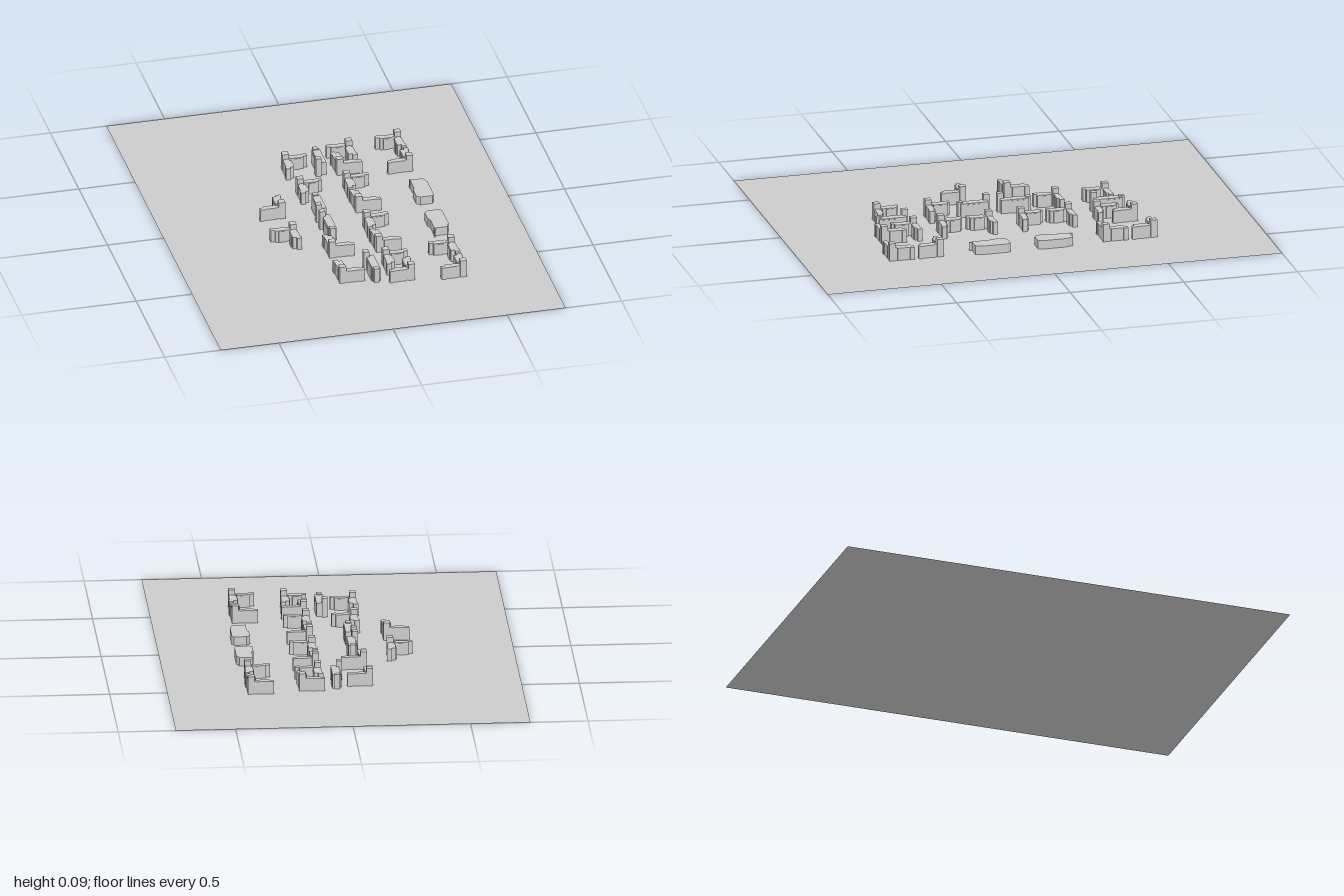
import * as THREE from 'three';

const material = new THREE.MeshStandardMaterial({ color: 0xcccccc, flatShading: true });
const groundMaterial = new THREE.MeshStandardMaterial({ color: 0xcccccc, side: THREE.DoubleSide });

// Box standing on the ground, given by its plan limits; sx and sz mirror the plan
function block(parent, name, [x0, x1, z0, z1, h], sx = 1, sz = 1) {
  const mesh = new THREE.Mesh(new THREE.BoxGeometry(x1 - x0, h, z1 - z0), material);
  mesh.position.set(sx * (x0 + x1) / 2, h / 2, sz * (z0 + z1) / 2);
  mesh.name = name;
  parent.add(mesh);
}

// L-shaped house: stair tower in the corner, a wing along x and a wing along z
const cornerParts = [
  ['stairTower', [-0.014, 0.014, -0.014, 0.014, 0.078]],
  ['wingLink', [0.01, 0.024, -0.009, 0.009, 0.055]],
  ['sideWing', [0.022, 0.078, -0.013, 0.013, 0.055]],
  ['sideWingBay', [0.036, 0.064, -0.010, 0.016, 0.052]],
  ['sideWingEnd', [0.076, 0.096, -0.016, 0.004, 0.055]],
  ['wingLink', [-0.009, 0.012, 0.01, 0.024, 0.055]],
  ['longWing', [-0.014, 0.02, 0.022, 0.084, 0.055]],
  ['longWingBay', [-0.010, 0.023, 0.038, 0.068, 0.052]],
  ['longWingEnd', [-0.018, 0.003, 0.076, 0.096, 0.055]],
];

// Corner x, corner z, direction of the two wings
const cornerHouses = [
  [-0.11, -0.455, 1, 1], [0.18, -0.505, -1, 1], [0.105, -0.36, 1, -1],
  [0.40, -0.53, -1, 1], [0.40, -0.32, -1, -1],
  [-0.10, -0.235, 1, 1], [0.105, -0.235, 1, 1], [0.105, -0.027, 1, -1],
  [-0.225, -0.055, -1, -1], [-0.225, 0.14, -1, 1], [0.105, 0.115, 1, 1],
  [-0.10, 0.327, 1, -1], [0.105, 0.327, 1, -1],
  [-0.11, 0.55, 1, -1], [0.105, 0.447, 1, 1], [0.18, 0.595, -1, -1],
  [0.40, 0.41, -1, 1], [0.40, 0.62, -1, -1],
];

// Straight row house, entrance tower at the -z end
const rowParts = [
  ['rowBody', [-0.012, 0.022, -0.06, 0.062, 0.06]],
  ['rowBay', [-0.016, 0.024, -0.02, 0.05, 0.055]],
  ['rowTower', [-0.025, -0.001, -0.07, -0.044, 0.085]],
  ['rowEnd', [-0.008, 0.014, 0.05, 0.073, 0.065]],
];
const rowHouses = [[0.028, -0.428, -1], [-0.068, -0.043, -1], [-0.068, 0.133, 1], [0.028, 0.518, 1]];

// Low hall with a chamfered plan
const hallPlan = [
  [-0.032, -0.075], [0.026, -0.075], [0.03, -0.06], [0.037, -0.045], [0.037, 0.065],
  [0.028, 0.08], [-0.025, 0.08], [-0.04, 0.065], [-0.04, 0.01], [-0.032, 0],
];

function hall(z, s) {
  const group = new THREE.Group();
  group.name = 'lowHall';
  const shape = new THREE.Shape(hallPlan.map(([x, d]) => new THREE.Vector2(x, -s * d)));
  const geometry = new THREE.ExtrudeGeometry(shape, { depth: 0.038, bevelEnabled: false });
  geometry.rotateX(-Math.PI / 2);
  const body = new THREE.Mesh(geometry, material);
  body.name = 'hallBody';
  group.add(body);
  block(group, 'hallFin', [-0.034, -0.028, -0.087, -0.07, 0.036], 1, s);
  group.position.set(0.398, 0, z);
  return group;
}

export function createModel() {
  const model = new THREE.Group();
  model.name = 'housingEstate';

  // Ground sheet
  const ground = new THREE.Mesh(new THREE.PlaneGeometry(1.51, 2).rotateX(-Math.PI / 2), groundMaterial);
  ground.name = 'ground';
  model.add(ground);

  for (const [x, z, sx, sz] of cornerHouses) {
    const house = new THREE.Group();
    house.name = 'cornerHouse';
    house.position.set(x, 0, z);
    for (const [name, limits] of cornerParts) block(house, name, limits, sx, sz);
    model.add(house);
  }

  for (const [x, z, s] of rowHouses) {
    const house = new THREE.Group();
    house.name = 'rowHouse';
    house.position.set(x, 0, z);
    for (const [name, limits] of rowParts) block(house, name, limits, 1, s);
    model.add(house);
  }

  model.add(hall(-0.095, 1), hall(0.185, -1));
  return model;
}
